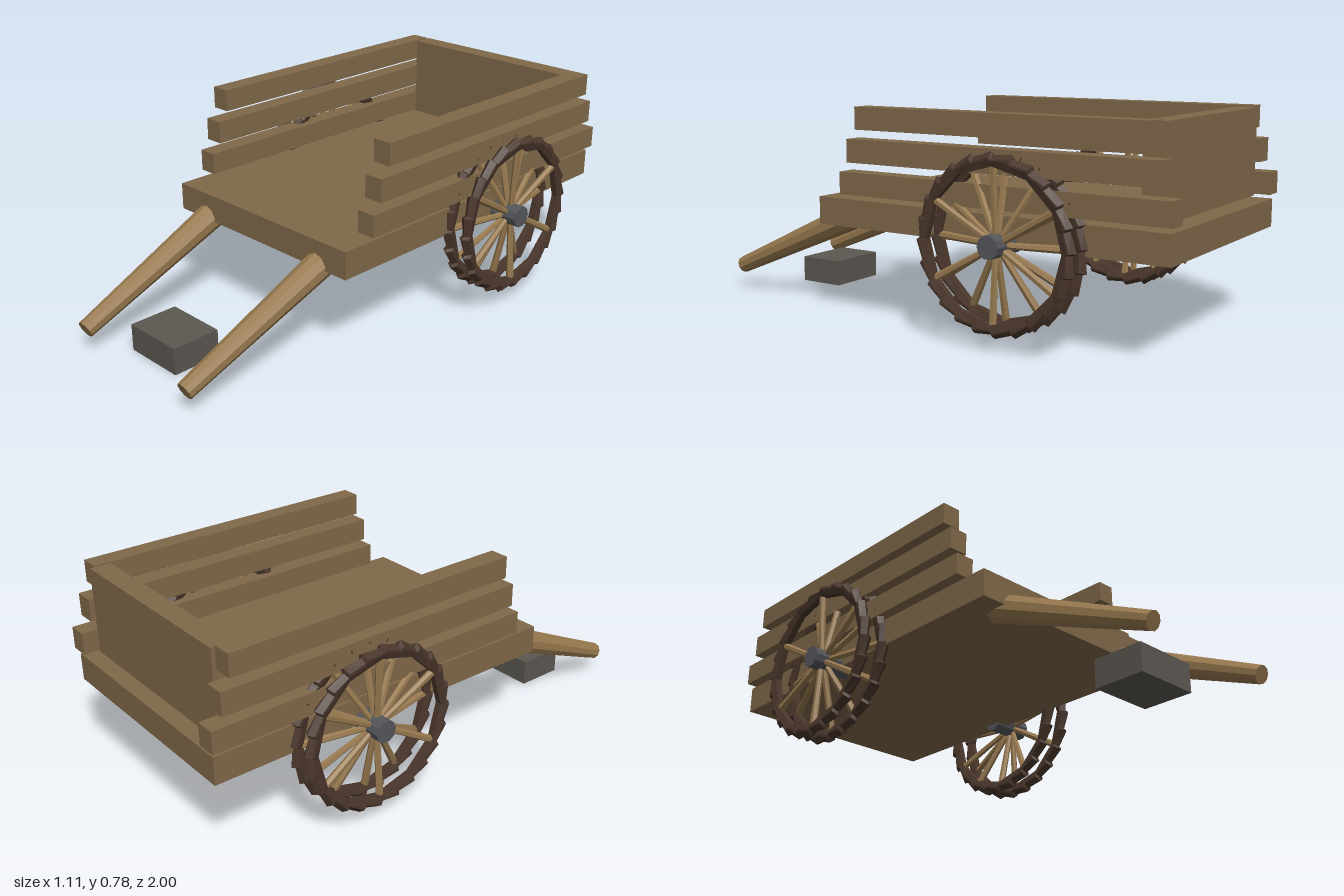
import * as THREE from 'three';

const mat = (name, color, flat = true) => {
  const m = new THREE.MeshStandardMaterial({ color, flatShading: flat });
  m.name = name;
  return m;
};

export function createModel() {
  const cart = new THREE.Group();
  cart.name = 'handCart';
  const wood = mat('plankWood', 0x7f6849);
  const pale = mat('paleWood', 0x97794f);
  const dark = mat('darkWood', 0x49362b);
  const stone = mat('stone', 0x5b5751);
  const iron = mat('iron', 0x54565a);

  const add = (name, geo, material, parent = cart) => {
    const mesh = new THREE.Mesh(geo, material);
    mesh.name = name;
    parent.add(mesh);
    return mesh;
  };
  // Box given by its limits on each axis
  const box = (name, material, x0, x1, y0, y1, z0, z1) =>
    add(name, new THREE.BoxGeometry(x1 - x0, y1 - y0, z1 - z0), material)
      .position.set((x0 + x1) / 2, (y0 + y1) / 2, (z0 + z1) / 2);
  // Tapered round bar between two points
  const bar = (name, material, a, b, ra, rb, sides, parent) => {
    const d = b.clone().sub(a);
    const mesh = add(name, new THREE.CylinderGeometry(rb, ra, d.length(), sides), material, parent);
    mesh.position.copy(a).addScaledVector(d, 0.5);
    mesh.quaternion.setFromUnitVectors(new THREE.Vector3(0, 1, 0), d.normalize());
  };

  // Bed, tailboard and prop stone
  box('bed', wood, -0.44, 0.44, 0.34, 0.443, -0.99, 0.42);
  box('tailboard', wood, -0.387, 0.387, 0.457, 0.777, -0.94, -0.862);
  box('propStone', stone, -0.186, 0.06, 0, 0.102, 0.67, 0.86);

  // Wheel rim: hexagonal section with stepped overlapping outer edge
  const rim = () => {
    const teeth = 24, pts = [], idx = [];
    const ring = (a, step) => {
      const ro = 0.297 + step, c = Math.cos(a), s = Math.sin(a);
      // inner edge stays a twelve-sided polygon
      const seg = Math.PI / 6, off = ((a % seg) + seg) % seg - seg / 2;
      const ri = 0.262 * Math.cos(seg / 2) / Math.cos(off);
      const w = 0.018 + step * 0.25;
      [[ri, 0.012], [(ri + ro) / 2, w], [ro - 0.016, w], [ro, 0],
        [ro - 0.016, -w], [(ri + ro) / 2, -w], [ri, -0.012]]
        .forEach(([r, x]) => pts.push(x, r * s, r * c));
    };
    for (let i = 0; i < teeth; i++) {
      ring(i / teeth * Math.PI * 2, 0);
      ring((i + 0.9) / teeth * Math.PI * 2, 0.013);
    }
    const n = teeth * 2, k = 7;
    for (let i = 0; i < n; i++) for (let j = 0; j < k; j++) {
      const a = i * k + j, b = i * k + (j + 1) % k;
      const c = ((i + 1) % n) * k + j, d = ((i + 1) % n) * k + (j + 1) % k;
      idx.push(a, b, c, b, d, c);
    }
    const g = new THREE.BufferGeometry();
    g.setAttribute('position', new THREE.Float32BufferAttribute(pts, 3));
    g.setIndex(idx);
    // Turn faces outward if the winding encloses a negative volume
    const v = i => new THREE.Vector3().fromArray(pts, i * 3);
    let vol = 0;
    for (let i = 0; i < idx.length; i += 3) vol += v(idx[i]).dot(v(idx[i + 1]).cross(v(idx[i + 2])));
    if (vol < 0) g.setIndex(idx.reverse());
    g.computeVertexNormals();
    return g;
  };
  const rimGeo = rim();

  for (const s of [1, -1]) {
    const side = s > 0 ? 'left' : 'right';

    // Side rails, each a little shorter and further back or forward
    [[0.463, 0.545, -1, 0.305], [0.58, 0.665, -0.96, 0.27], [0.7, 0.782, -0.925, 0.23]]
      .forEach(([y0, y1, z0, z1], i) => {
        const x = [s * 0.385, s * 0.458].sort((a, b) => a - b);
        box(`${side}Rail${i + 1}`, wood, x[0], x[1], y0, y1, z0, z1);
      });

    // Pulling shaft
    bar(`${side}Shaft`, pale, new THREE.Vector3(s * 0.298, 0.37, 0.342),
      new THREE.Vector3(s * 0.283, 0.092, 0.987), 0.054, 0.033, 10);

    // Double-rimmed wheel
    const wheel = new THREE.Group();
    wheel.name = `${side}Wheel`;
    wheel.position.set(0, 0.356, -0.4);
    cart.add(wheel);
    add('outerRim', rimGeo, dark, wheel).position.x = s * 0.52;
    add('innerRim', rimGeo, dark, wheel).position.x = s * 0.437;
    bar('hub', iron, new THREE.Vector3(s * 0.385, 0, 0), new THREE.Vector3(s * 0.555, 0, 0),
      0.041, 0.041, 10, wheel);
    for (let i = 0; i < 12; i++) {
      const a = i * Math.PI / 6;
      const at = (x, r) => new THREE.Vector3(s * x, r * Math.sin(a), r * Math.cos(a));
      bar('innerSpoke', pale, at(0.493, 0.02), at(0.437, 0.27), 0.011, 0.014, 6, wheel);
      if (i % 2) bar('outerSpoke', pale, at(0.505, 0.02), at(0.52, 0.27), 0.011, 0.014, 6, wheel);
    }
  }
  return cart;
}
